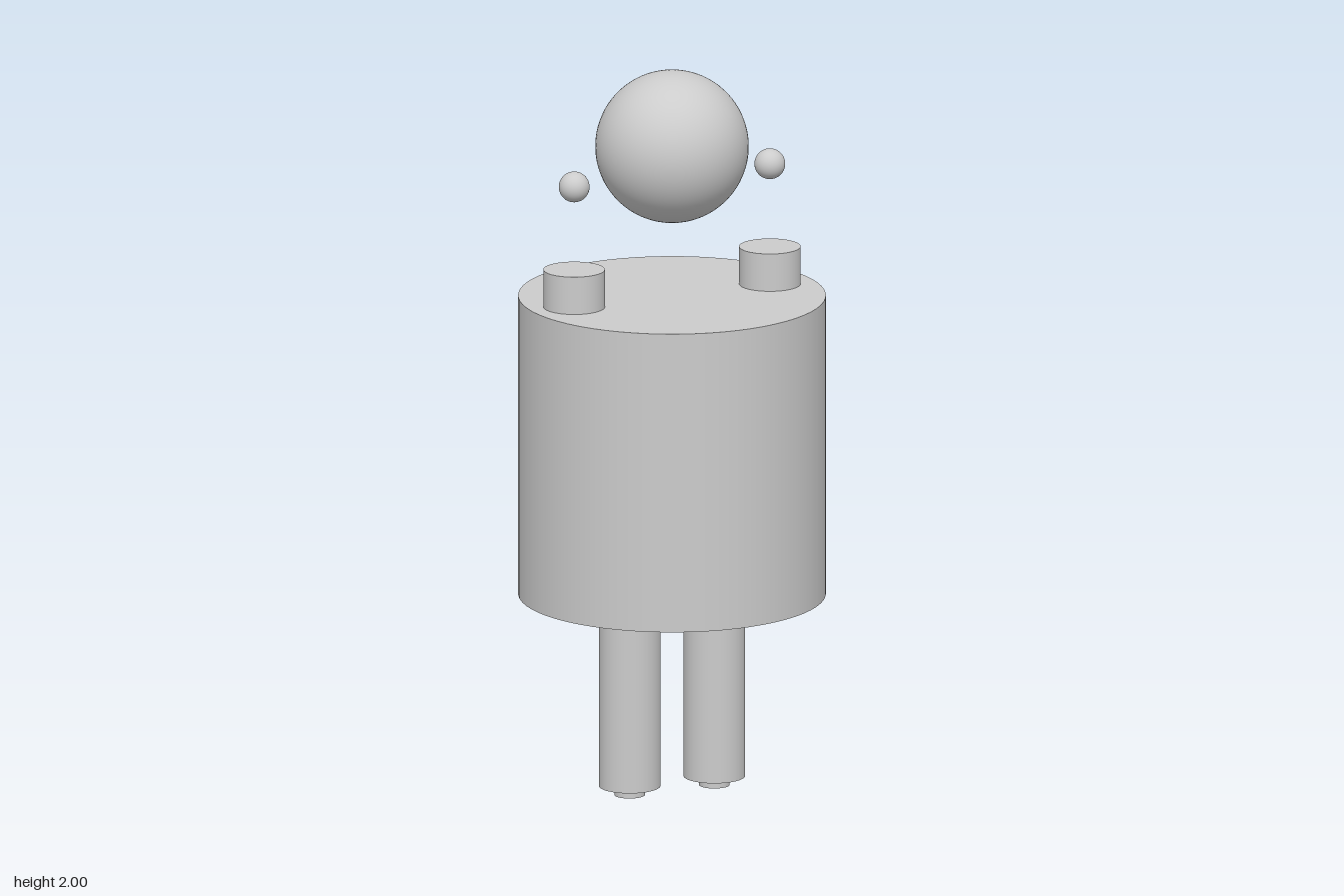
import * as THREE from 'three';

export function createModel() {
  const model = new THREE.Group();
  const material = new THREE.MeshStandardMaterial({ color: 0xcccccc });

  const add = (name, geometry, x, y) => {
    const mesh = new THREE.Mesh(geometry, material);
    mesh.name = name;
    mesh.position.set(x, y, 0);
    model.add(mesh);
  };

  // Upright cylinder spanning two heights
  const addCylinder = (name, radius, bottom, top, x = 0) =>
    add(name, new THREE.CylinderGeometry(radius, radius, top - bottom, 64), x, (bottom + top) / 2);

  const addBall = (name, radius, x, y) =>
    add(name, new THREE.SphereGeometry(radius, 64, 48), x, y);

  // Torso and floating head
  addCylinder('body', 0.415, 0.547, 1.378);
  addBall('head', 0.207, 0, 1.793);

  // Mirrored limbs: left is +x
  for (const [side, s] of [['left', 1], ['right', -1]]) {
    addCylinder(side + 'Arm', 0.083, 1.36, 1.482, s * 0.291);
    addBall(side + 'Hand', 0.0415, s * 0.291, 1.712);
    addCylinder(side + 'Leg', 0.083, 0.025, 0.57, s * 0.126);
    addCylinder(side + 'Foot', 0.0415, 0, 0.04, s * 0.126);
  }

  return model;
}
